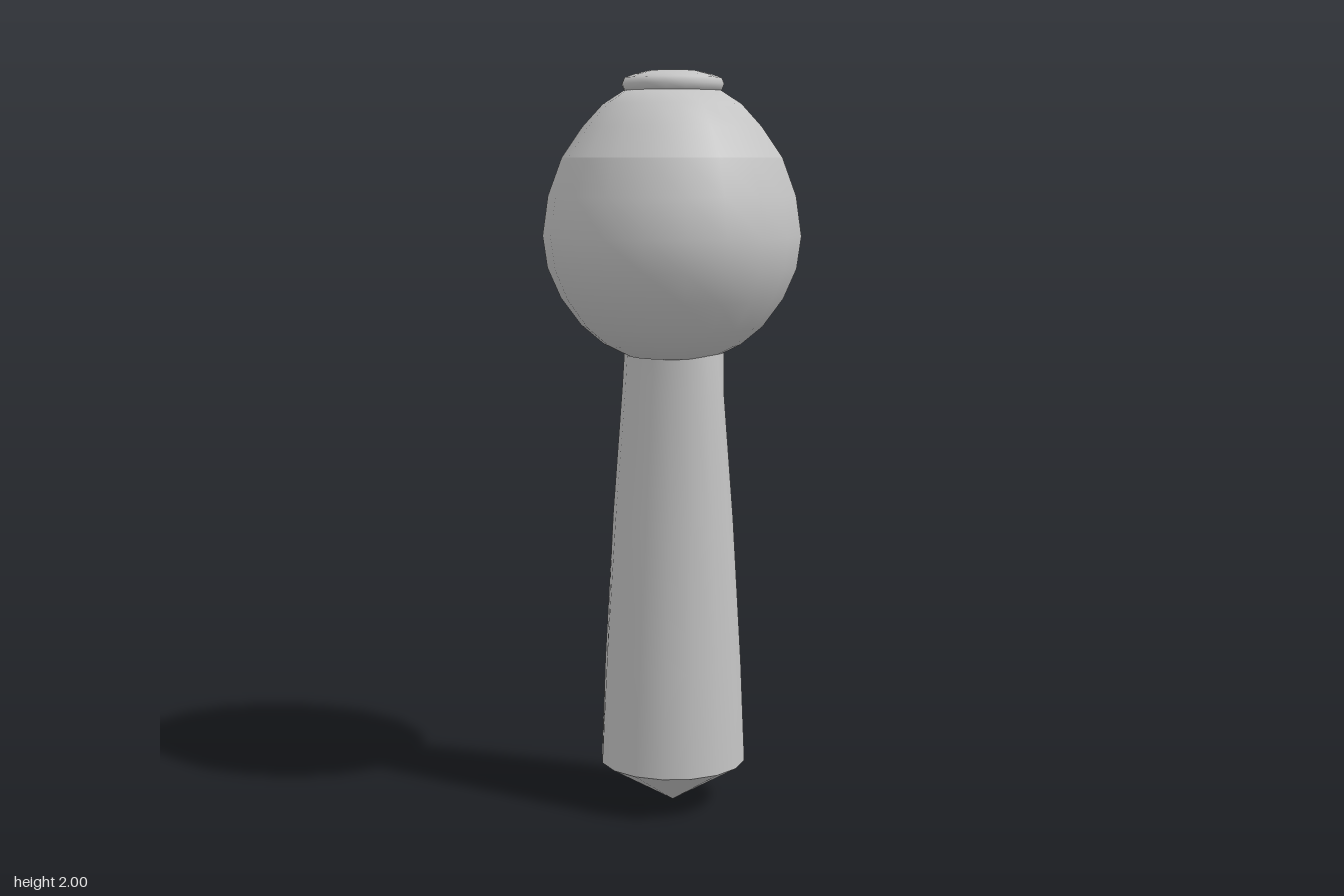
import * as THREE from 'three';
import { mergeVertices } from 'three/addons/utils/BufferGeometryUtils.js';

const grey = new THREE.MeshStandardMaterial({ color: 0xc4c4c4 });
grey.name = 'lightGrey';

// Smooth turned part from [radius, height] pairs, bottom to top
function turned(name, profile, sides, reshape) {
  let geo = new THREE.LatheGeometry(profile.map(([r, y]) => new THREE.Vector2(r, y)), sides);
  if (reshape) {
    const p = geo.attributes.position;
    const v = new THREE.Vector3();
    for (let i = 0; i < p.count; i++) {
      reshape(v.fromBufferAttribute(p, i));
      p.setXYZ(i, v.x, v.y, v.z);
    }
    geo.deleteAttribute('uv');
    geo.deleteAttribute('normal');
    geo = mergeVertices(geo, 1e-5);
    geo.computeVertexNormals();
  }
  const mesh = new THREE.Mesh(geo, grey);
  mesh.name = name;
  return mesh;
}

export function createModel() {
  const model = new THREE.Group();
  model.name = 'microphone';

  // Pointed butt of the handle
  model.add(turned('handleTip', [[0, 0], [0.2, 0.12]], 16));

  // Tapered handle, flattened front to back near the neck, flaring at the back
  model.add(turned('handle',
    [[0.2, 0.12], [0.191, 0.4], [0.171, 0.8], [0.146, 1.15], [0.138, 1.27], [0.13, 1.32]], 16,
    (v) => {
      const t = Math.min(1, (v.y - 0.12) / 1.03);
      v.z *= 1 - 0.26 * t;
      if (v.z < 0 && v.y > 1.16) v.z *= 1.42;
    }));

  // Egg-shaped head in two halves, with a crease between them
  model.add(turned('headLower',
    [[0, 1.23], [0.12, 1.243], [0.185, 1.275], [0.245, 1.325], [0.3, 1.4], [0.335, 1.48],
      [0.347, 1.565], [0.332, 1.67], [0.295, 1.77]], 20));
  model.add(turned('headUpper',
    [[0.295, 1.77], [0.24, 1.85], [0.185, 1.91], [0.13, 1.945], [0, 1.965]], 20));

  // Rounded button on top
  model.add(turned('topCap',
    [[0.11, 1.935], [0.13, 1.945], [0.137, 1.962], [0.13, 1.978], [0.105, 1.987],
      [0.065, 1.997], [0, 2]], 16));

  return model;
}
